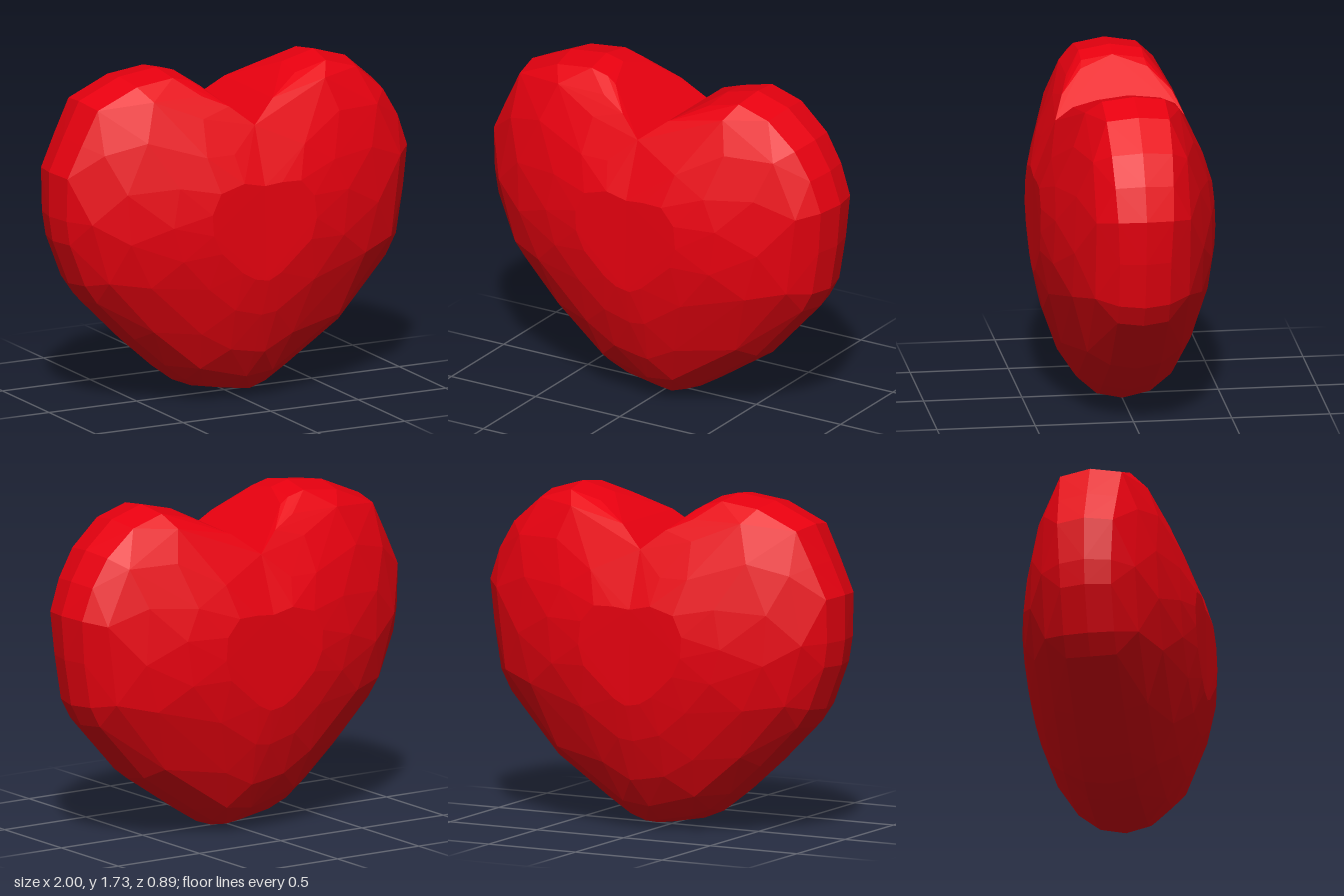
import * as THREE from 'three';
import { ConvexGeometry } from 'three/addons/geometries/ConvexGeometry.js';

const CENTRE_Y = 0.95;

// Rim of each lobe, from the bottom tip round to the crease.
// The last point is where the rim would meet x = 0 without the crease.
const leftRim = [
  [0, 0.01], [0.08, 0], [0.17, 0.03], [0.3, 0.11], [0.6, 0.31], [0.88, 0.62], [0.94, 0.73], [0.98, 0.97],
  [1, 1.2], [0.94, 1.37], [0.85, 1.52], [0.69, 1.66], [0.51, 1.715], [0.33, 1.67], [0, 1.64],
];
const rightRim = [
  [0, 0.01], [-0.19, 0.045], [-0.3, 0.09], [-0.42, 0.18], [-0.6, 0.34], [-0.82, 0.56], [-0.89, 0.66], [-0.98, 0.89],
  [-1, 1.02], [-1, 1.25], [-0.92, 1.42], [-0.83, 1.6], [-0.6, 1.7], [-0.39, 1.725], [-0.29, 1.7], [0, 1.64],
];

// Shrinking rings of the rim: scale, half depth towards the sides and bottom, half depth towards the top
const rings = [
  [1, 0, 0], [0.97, 0.13, 0.16], [0.88, 0.24, 0.24], [0.72, 0.33, 0.305], [0.5, 0.405, 0.385], [0.3, 0.445, 0.44],
];

// Edge of the crease, from the seam up each lobe
const leftCrease = [[0, 1.45, 0.33], [0.14, 1.56, 0.26]];
const rightCrease = [[0, 1.45, 0.33], [-0.12, 1.55, 0.28], [-0.23, 1.648, 0.17]];

function lobe(name, rim, crease, material) {
  const points = [];
  const addPair = (x, y, z) => {
    points.push(new THREE.Vector3(x, y, z));
    if (z > 0) points.push(new THREE.Vector3(x, y, -z));
  };
  rings.forEach(([s, lowDepth, topDepth], r) => {
    rim.forEach(([x, y], i) => {
      // The crease cuts off the outer rings at the upper seam
      if (i === rim.length - 1 && s > 0.5) return;
      // Staggered points give broad, irregular facets
      if (x !== 0 && r > 1 && (i + r) % 2) return;
      const topness = THREE.MathUtils.clamp((y - CENTRE_Y) / 0.7, 0, 1);
      addPair(x * s, CENTRE_Y + (y - CENTRE_Y) * s, THREE.MathUtils.lerp(lowDepth, topDepth, topness));
    });
  });
  crease.forEach((p) => addPair(...p));

  // Leave out the hidden wall where the two lobes join
  const hull = new ConvexGeometry(points).getAttribute('position');
  const kept = [];
  for (let i = 0; i < hull.count; i += 3) {
    const corners = [i, i + 1, i + 2];
    if (corners.every((c) => Math.abs(hull.getX(c)) < 1e-5)) continue;
    corners.forEach((c) => kept.push(hull.getX(c), hull.getY(c), hull.getZ(c)));
  }
  const geometry = new THREE.BufferGeometry();
  geometry.setAttribute('position', new THREE.Float32BufferAttribute(kept, 3));
  geometry.computeVertexNormals();
  const mesh = new THREE.Mesh(geometry, material);
  mesh.name = name;
  return mesh;
}

export function createModel() {
  const heart = new THREE.Group();
  heart.name = 'heart';
  const red = new THREE.MeshStandardMaterial({ color: 0xe8000f, flatShading: true });
  heart.add(
    lobe('leftLobe', leftRim, leftCrease, red),
    lobe('rightLobe', rightRim, rightCrease, red),
  );
  return heart;
}
